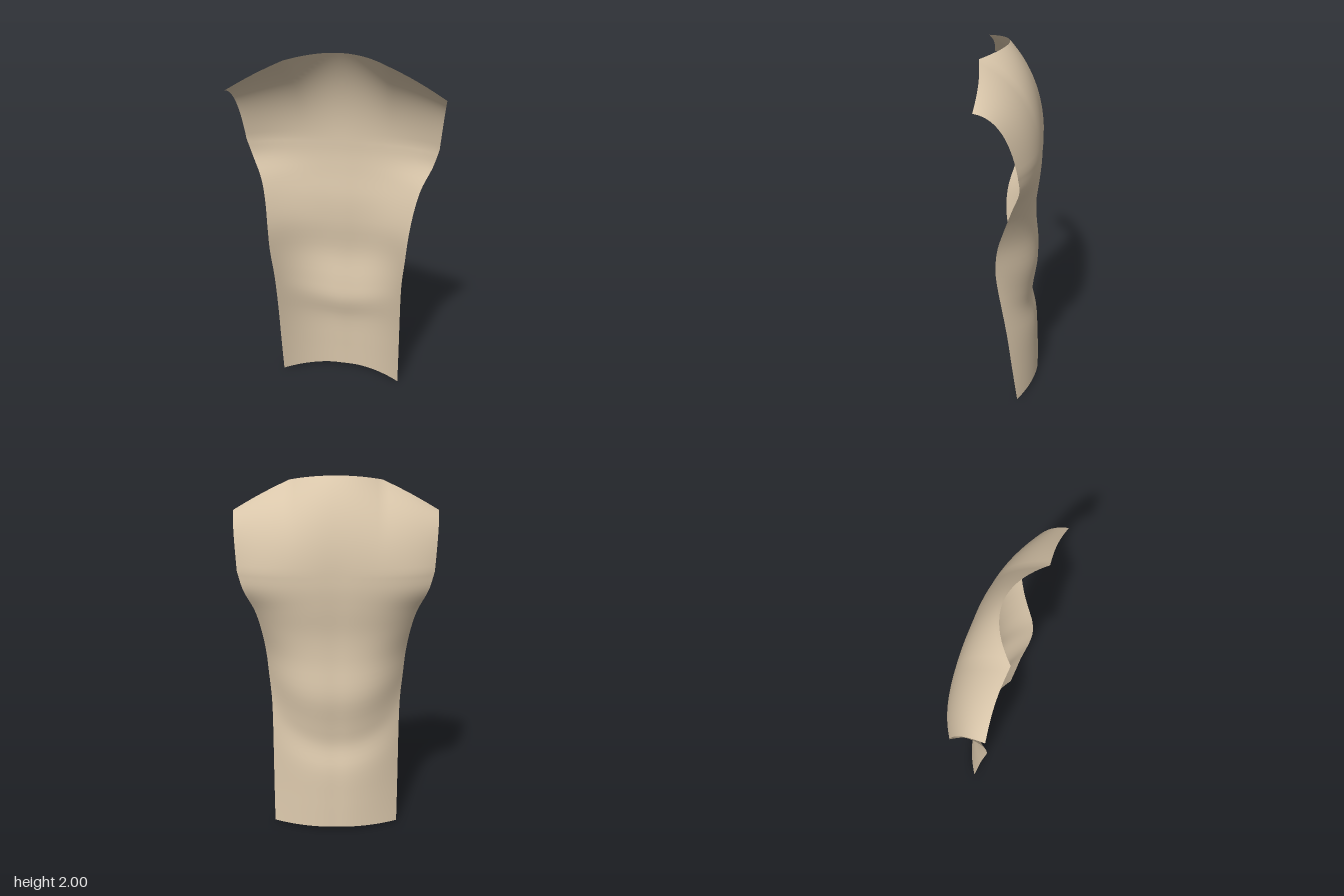
import * as THREE from 'three';

const { lerp } = THREE.MathUtils;
const V = (x, y, z) => new THREE.Vector3(x, y, z);
const curve = pts => new THREE.CatmullRomCurve3(pts.map(p => V(...p)));

// Matching guide lines from hem to underarm: centre back and side seam
const spine = curve([
  [0, 0.015, -0.152], [0, 0.18, -0.146], [0, 0.36, -0.136], [0, 0.5, -0.108], [0, 0.62, -0.118],
  [0, 0.8, -0.142], [0, 1.0, -0.126], [0, 1.15, -0.127], [0, 1.3, -0.145], [0, 1.41, -0.155], [0, 1.5, -0.156],
]);
const side = curve([
  [0.362, 0, -0.04], [0.365, 0.22, -0.012], [0.367, 0.45, 0.016], [0.37, 0.64, 0.045], [0.375, 0.75, 0.062],
  [0.388, 0.88, 0.074], [0.4, 1.02, 0.062], [0.42, 1.16, 0.02], [0.45, 1.28, -0.02], [0.505, 1.4, -0.057], [0.535, 1.5, -0.05],
]);

// Point on the body below the armholes; u runs -1..1 across, t runs 0..1 upward
function bodyPoint(u, t) {
  const c = spine.getPoint(t), s = side.getPoint(t), a = Math.abs(u);
  const groove = 0.004 * Math.exp(-((u / 0.15) ** 2));
  return V(s.x * u, lerp(c.y, s.y, a * a), lerp(c.z, s.z, a ** lerp(2.1, 3.3, t)) + groove);
}

// Upper edge: neckline arc, then the sloping shoulder seam
function seamPoint(u) {
  const a = Math.abs(u), neck = 0.45;
  if (a <= neck) {
    const k = (a / neck) ** 2;
    return V(0.57 * u, 2 - 0.025 * k, 0.02 + 0.13 * k);
  }
  const k = (a - neck) / (1 - neck), bow = Math.sin(Math.PI * k);
  return V(0.57 * u, lerp(1.975, 1.812, k) + 0.006 * bow, 0.15 - 0.012 * bow);
}

// Shoulder area rolls forward from the body to the upper edge
function yokePoint(u, t) {
  const a = Math.abs(u), top = seamPoint(u);
  const bend = V(0.56 * u, top.y - lerp(0.2, 0.025, a ** 1.4), lerp(-0.148, 0, a ** 2.2));
  return new THREE.QuadraticBezierCurve3(bodyPoint(u, 1), bend, top).getPoint(t);
}

export function createModel() {
  const group = new THREE.Group();
  group.name = 'garmentBack';

  const cloth = new THREE.MeshStandardMaterial({ color: 0xdac7ab, side: THREE.DoubleSide });
  cloth.name = 'tan cloth';

  // One curved sheet, facing backwards
  const geometry = new THREE.PlaneGeometry(2, 1, 40, 64);
  const pos = geometry.attributes.position;
  const split = 0.6875;
  for (let i = 0; i < pos.count; i++) {
    const u = -pos.getX(i), v = pos.getY(i) + 0.5;
    const p = v <= split ? bodyPoint(u, v / split) : yokePoint(u, (v - split) / (1 - split));
    pos.setXYZ(i, p.x, p.y, p.z);
  }
  geometry.computeVertexNormals();

  const panel = new THREE.Mesh(geometry, cloth);
  panel.name = 'backPanel';
  group.add(panel);
  return group;
}
